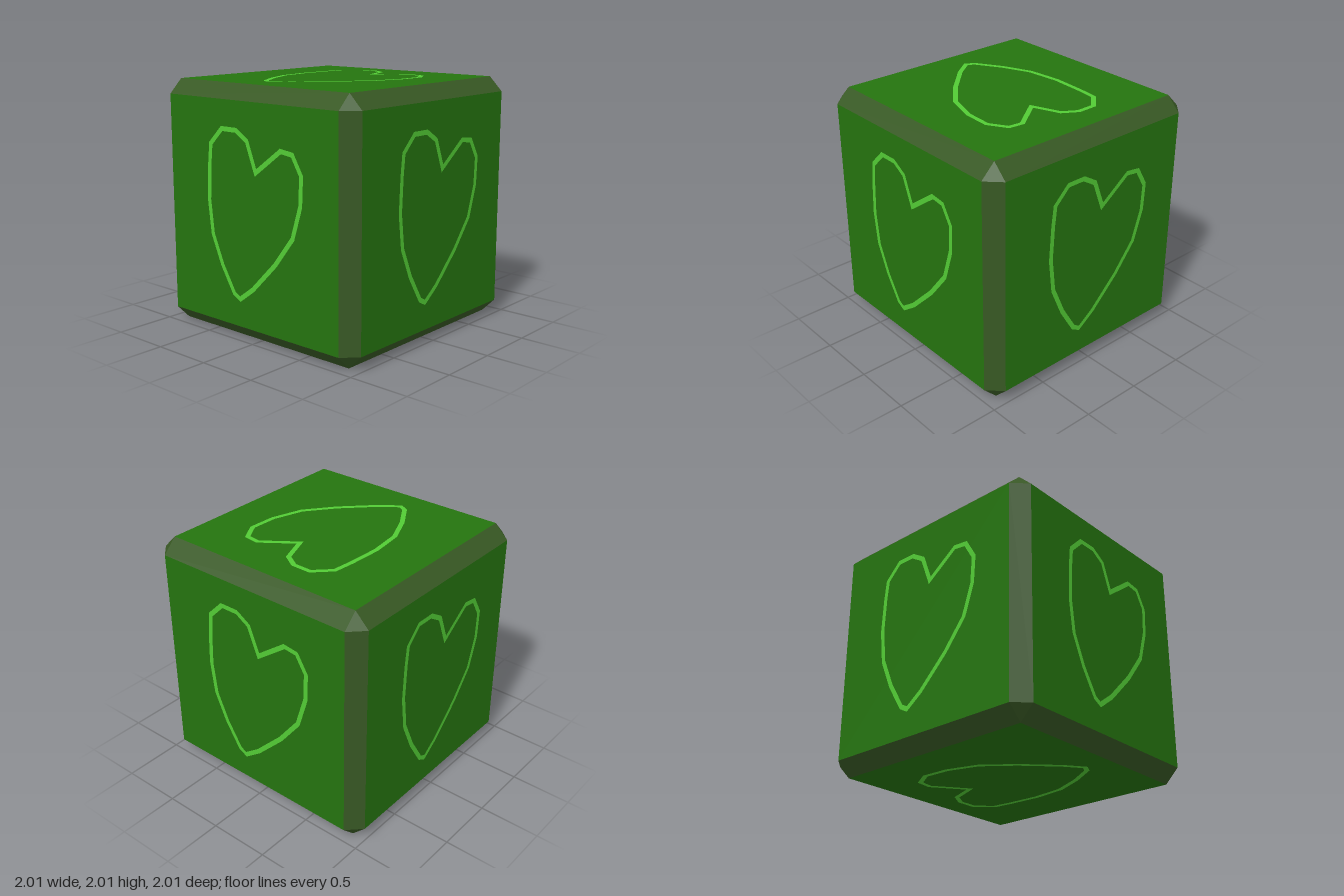
import * as THREE from 'three';

const FLAT = 0.885; // half width of each flat face; the cube half size is 1
const CUT = 1 - FLAT;

const material = (name, color, side = THREE.FrontSide) => {
  const m = new THREE.MeshStandardMaterial({ color, side });
  m.name = name;
  return m;
};

// Heart centreline on a face, measured from the face centre
const HEART = [
  [-0.417, 0.535], [-0.29, 0.66], [-0.135, 0.66], [-0.018, 0.588], [0.07, 0.36],
  [0.332, 0.55], [0.449, 0.535], [0.535, 0.39], [0.524, 0.166], [0.444, -0.086],
  [0.262, -0.316], [0.02, -0.556], [-0.123, -0.66], [-0.187, -0.626],
  [-0.315, -0.417], [-0.417, -0.182], [-0.449, 0.09], [-0.435, 0.37],
].map(([x, y]) => new THREE.Vector2(x, y));

// Moves a closed outline sideways with mitred corners
function offsetOutline(points, distance) {
  const n = points.length;
  const normal = (a, b) => new THREE.Vector2(a.y - b.y, b.x - a.x).normalize();
  return points.map((p, i) => {
    const n1 = normal(points[(i + n - 1) % n], p);
    const n2 = normal(p, points[(i + 1) % n]);
    const mitre = n1.clone().add(n2).multiplyScalar(distance / (1 + n1.dot(n2)));
    return mitre.add(p);
  });
}

function heartGeometry() {
  const shape = new THREE.Shape(offsetOutline(HEART, 0.019));
  shape.holes.push(new THREE.Path(offsetOutline(HEART, -0.019)));
  return new THREE.ShapeGeometry(shape).translate(0, 0, 1.003);
}

export function createModel() {
  const faceGreen = material('face green', 0x25740f);
  const edgeGreen = material('edge olive', 0x385924);
  const heartGreen = material('heart green', 0x52cc35, THREE.DoubleSide);

  const model = new THREE.Group();
  model.name = 'heartCube';
  const add = (name, geometry, mat) => {
    const mesh = new THREE.Mesh(geometry, mat);
    mesh.name = name;
    model.add(mesh);
    return mesh;
  };
  // Turns a mesh so its own x and y run along right and up
  const orient = (mesh, right, up) => {
    const basis = new THREE.Matrix4().makeBasis(right, up, right.clone().cross(up));
    mesh.quaternion.setFromRotationMatrix(basis);
  };
  const vec = (x, y, z) => new THREE.Vector3(x, y, z);

  // Six flat faces, each with a thin heart outline
  const face = new THREE.PlaneGeometry(2 * FLAT, 2 * FLAT).translate(0, 0, 1);
  const heart = heartGeometry();
  const sides = {
    front: [vec(1, 0, 0), vec(0, 1, 0)],
    back: [vec(-1, 0, 0), vec(0, 1, 0)],
    left: [vec(0, 0, -1), vec(0, 1, 0)],
    right: [vec(0, 0, 1), vec(0, 1, 0)],
    top: [vec(0, 0, 1), vec(1, 0, 0)],
    bottom: [vec(0, 0, -1), vec(1, 0, 0)],
  };
  for (const [name, [right, up]] of Object.entries(sides)) {
    orient(add(name + 'Face', face, faceGreen), right, up);
    orient(add(name + 'Heart', heart, heartGreen), right, up);
  }

  // Twelve bevelled edges
  const bevel = new THREE.PlaneGeometry(2 * FLAT, CUT * Math.SQRT2)
    .translate(0, 0, (1 + FLAT) / Math.SQRT2);
  for (let axis = 0; axis < 3; axis++) {
    for (const a of [-1, 1]) for (const b of [-1, 1]) {
      const along = vec(0, 0, 0).setComponent(axis, 1);
      const out = vec(0, 0, 0).setComponent((axis + 1) % 3, a)
        .setComponent((axis + 2) % 3, b).normalize();
      orient(add('edgeBevel', bevel, edgeGreen), along, out.clone().cross(along));
    }
  }

  // Eight corner triangles
  for (const x of [-1, 1]) for (const y of [-1, 1]) for (const z of [-1, 1]) {
    const points = [
      vec(x, y * FLAT, z * FLAT), vec(x * FLAT, y, z * FLAT), vec(x * FLAT, y * FLAT, z),
    ];
    if (x * y * z < 0) points.reverse();
    const corner = new THREE.BufferGeometry().setFromPoints(points);
    corner.computeVertexNormals();
    add('cornerBevel', corner, edgeGreen);
  }

  model.children.forEach((part) => { part.position.y = 1; });
  return model;
}
